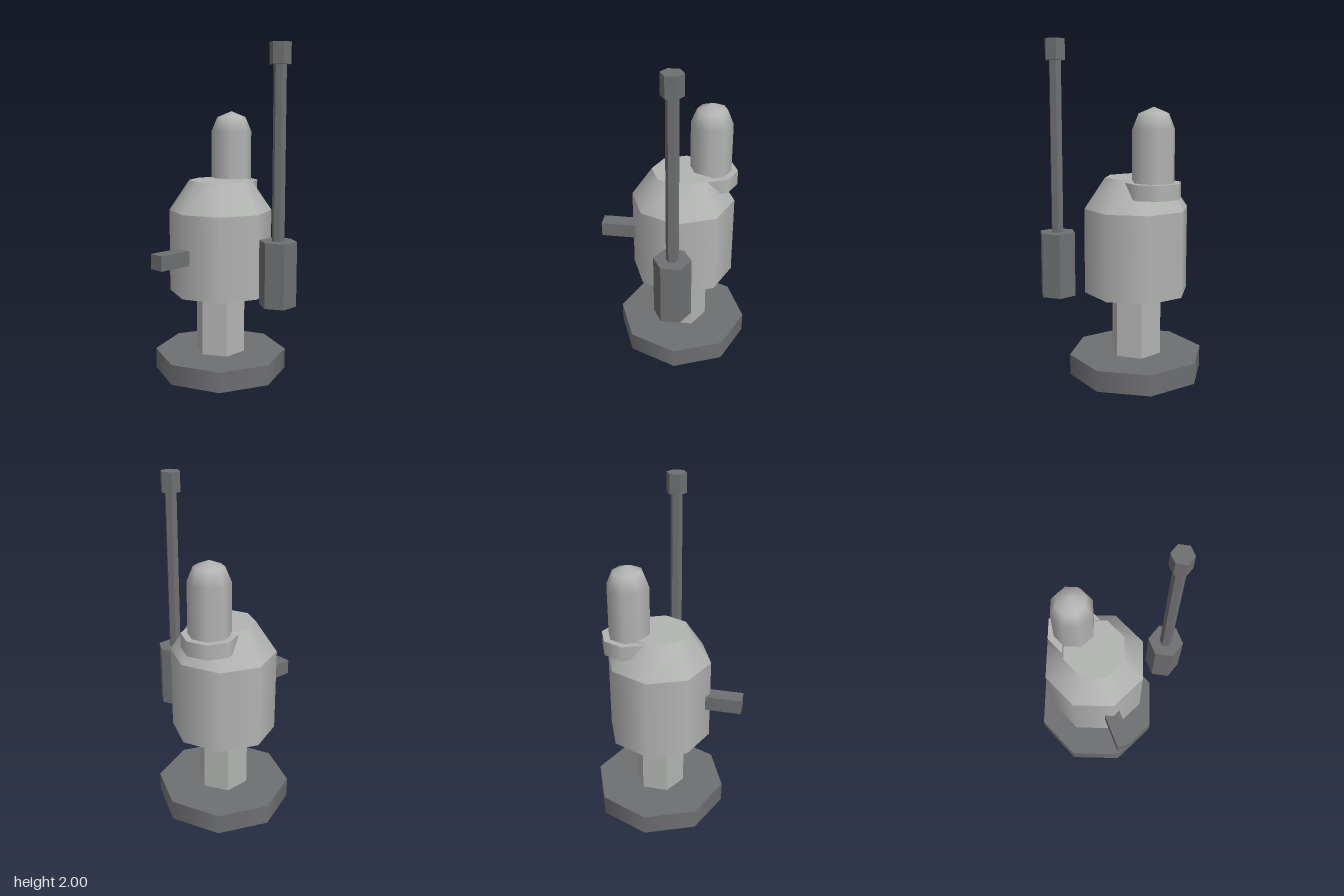
import * as THREE from 'three';

export function createModel() {
  const model = new THREE.Group();
  model.name = 'tankOnPedestal';

  const lightGrey = new THREE.MeshStandardMaterial({ color: 0xb2b4b2 });
  lightGrey.name = 'lightGrey';
  const darkGrey = new THREE.MeshStandardMaterial({ color: 0x6e6f71 });
  darkGrey.name = 'darkGrey';

  function add(name, geometry, material, x, y, z) {
    const mesh = new THREE.Mesh(geometry, material);
    mesh.name = name;
    mesh.position.set(x, y, z);
    model.add(mesh);
  }

  // Upright prism from y0 to y1; six-sided ones are faceted, eight-sided ones smooth
  function prism(name, material, sides, rTop, rBottom, y0, y1, x, z) {
    let geometry = new THREE.CylinderGeometry(rTop, rBottom, y1 - y0, sides);
    if (sides === 6) {
      geometry = geometry.toNonIndexed();
      geometry.computeVertexNormals();
    }
    add(name, geometry, material, x, (y0 + y1) / 2, z);
  }

  const bodyX = -0.08, bodyZ = -0.05;

  // Pedestal
  prism('base', darkGrey, 8, 0.41, 0.41, 0, 0.125, bodyX, bodyZ);
  prism('column', lightGrey, 6, 0.155, 0.155, 0.125, 0.51, bodyX, bodyZ);

  // Main tank with sloping shoulder
  prism('tank', lightGrey, 8, 0.315, 0.315, 0.51, 1.02, bodyX, bodyZ);
  prism('shoulder', lightGrey, 8, 0.19, 0.315, 1.02, 1.205, bodyX, bodyZ);

  // Domed cylinder and its collar, set towards the back
  const domeX = -0.145, domeZ = -0.21;
  prism('collar', lightGrey, 8, 0.165, 0.165, 1.1, 1.19, domeX, domeZ);
  prism('turret', lightGrey, 8, 0.125, 0.125, 1.1, 1.495, domeX, domeZ);
  add('dome', new THREE.SphereGeometry(0.125, 8, 2, 0, Math.PI * 2, 0, Math.PI / 2),
    lightGrey, domeX, 1.495, domeZ);

  // Front spout
  add('spout', new THREE.BoxGeometry(0.095, 0.09, 0.26), darkGrey, -0.082, 0.765, 0.33);

  // Side canister with a tall rod and knob
  const rodX = 0.395, rodZ = -0.05;
  prism('canister', darkGrey, 6, 0.11, 0.11, 0.51, 0.89, rodX, rodZ);
  prism('rod', darkGrey, 6, 0.037, 0.037, 0.89, 1.88, rodX, rodZ);
  prism('knob', darkGrey, 6, 0.062, 0.062, 1.88, 2, rodX, rodZ);

  return model;
}
